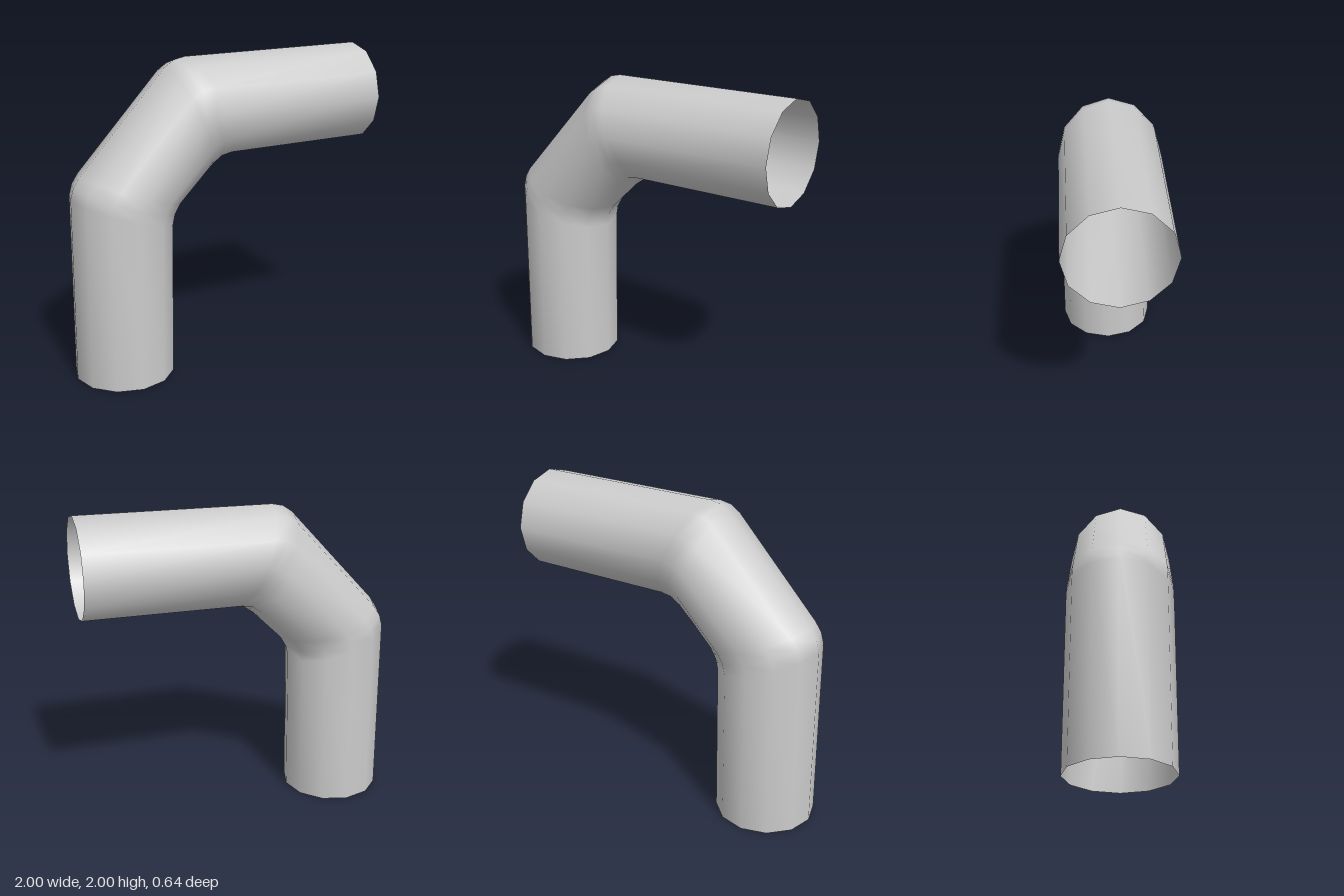
import * as THREE from 'three';

const SIDES = 12;
const RADIUS = 0.318;

// Cross-sections along the pipe: [outer bend x, y, inner bend x, y]
const SECTIONS = [
  [-1, 0, -0.365, 0],
  [-0.99, 1.18, -0.355, 0.96],
  [-0.97, 1.25, -0.34, 1.03],
  [-0.93, 1.31, -0.3, 1.1],
  [-0.36, 1.93, -0.11, 1.29],
  [-0.3, 1.97, -0.04, 1.34],
  [-0.23, 1.985, 0.03, 1.355],
  [1, 2, 1, 1.365],
];

// Skin an open tube over the mitred elliptical rings
function pipeGeometry() {
  const positions = [];
  const index = [];
  SECTIONS.forEach(([ox, oy, ix, iy], i) => {
    for (let j = 0; j < SIDES; j++) {
      const a = (j / SIDES) * Math.PI * 2;
      const t = (1 - Math.cos(a)) / 2;
      positions.push(
        THREE.MathUtils.lerp(ox, ix, t),
        THREE.MathUtils.lerp(oy, iy, t),
        RADIUS * Math.sin(a),
      );
      if (i === SECTIONS.length - 1) continue;
      const p = i * SIDES + j;
      const q = i * SIDES + ((j + 1) % SIDES);
      index.push(p, q, p + SIDES, q, q + SIDES, p + SIDES);
    }
  });
  const geometry = new THREE.BufferGeometry();
  geometry.setAttribute('position', new THREE.Float32BufferAttribute(positions, 3));
  geometry.setIndex(index);
  geometry.computeVertexNormals();
  return geometry;
}

export function createModel() {
  const group = new THREE.Group();
  group.name = 'pipeElbow';

  // Open-ended pipe with two 45 degree bends
  const material = new THREE.MeshStandardMaterial({ color: 0xcccccc, side: THREE.DoubleSide });
  const pipe = new THREE.Mesh(pipeGeometry(), material);
  pipe.name = 'bentPipe';
  group.add(pipe);
  return group;
}
